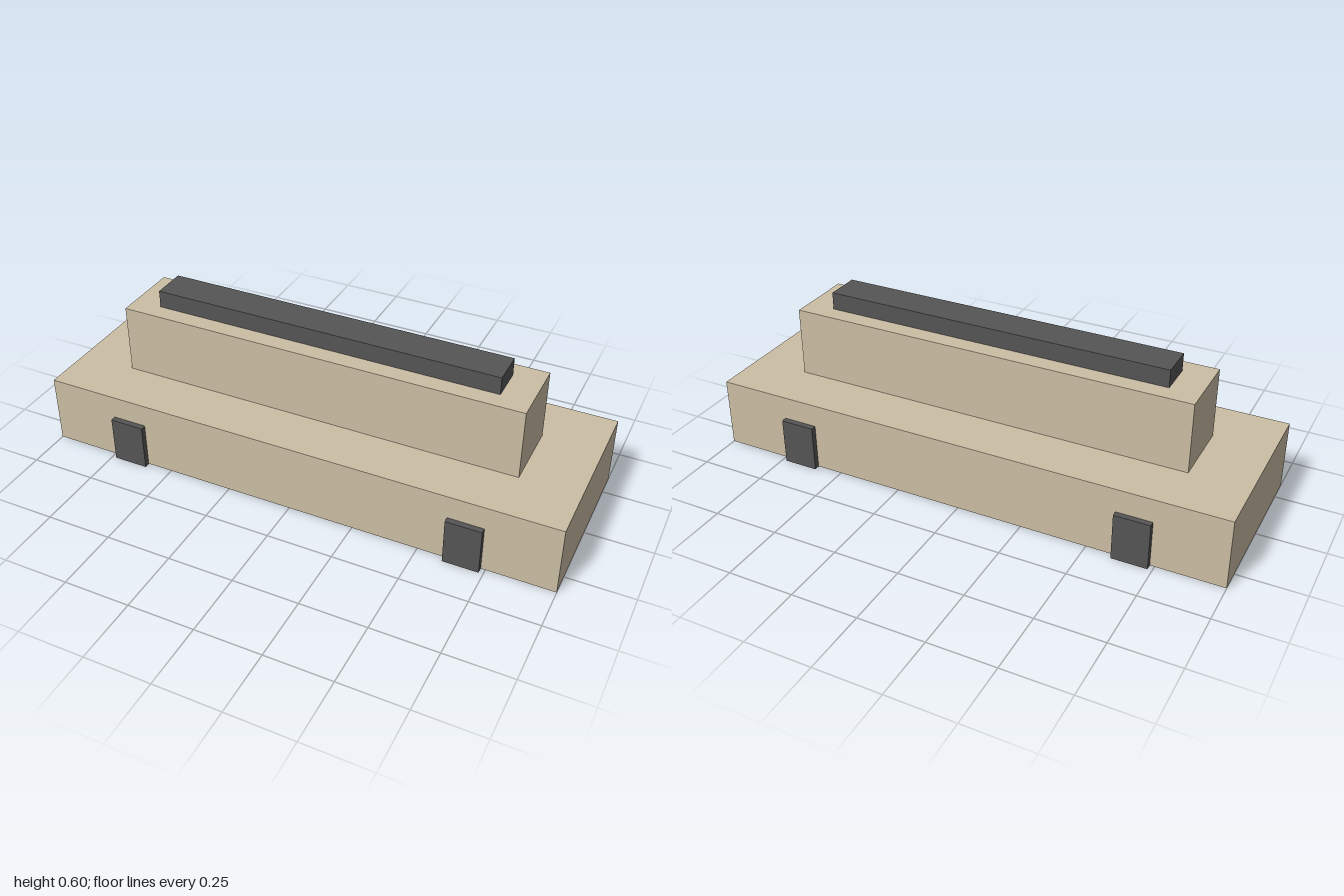
import * as THREE from 'three';

export function createModel() {
  const group = new THREE.Group();
  const tan = new THREE.MeshStandardMaterial({ color: 0xccbea4 });
  const dark = new THREE.MeshStandardMaterial({ color: 0x555555 });

  // Box centred on z = 0, standing on the given height
  function addBox(name, material, width, height, depth, bottom, x = 0) {
    const mesh = new THREE.Mesh(new THREE.BoxGeometry(width, height, depth), material);
    mesh.name = name;
    mesh.position.set(x, bottom + height / 2, 0);
    group.add(mesh);
  }

  // Stepped body; the base sits a hair above the strap undersides
  addBox('base', tan, 2, 0.266, 0.667, 0.001);
  addBox('upperBlock', tan, 1.556, 0.266, 0.267, 0.267);
  addBox('topBar', dark, 1.333, 0.067, 0.133, 0.533);

  // Crosswise straps that pass through the base and stand proud front and back
  for (const [name, side] of [['leftStrap', 1], ['rightStrap', -1]]) {
    addBox(name, dark, 0.133, 0.178, 0.711, 0, side * 0.667);
  }

  return group;
}
